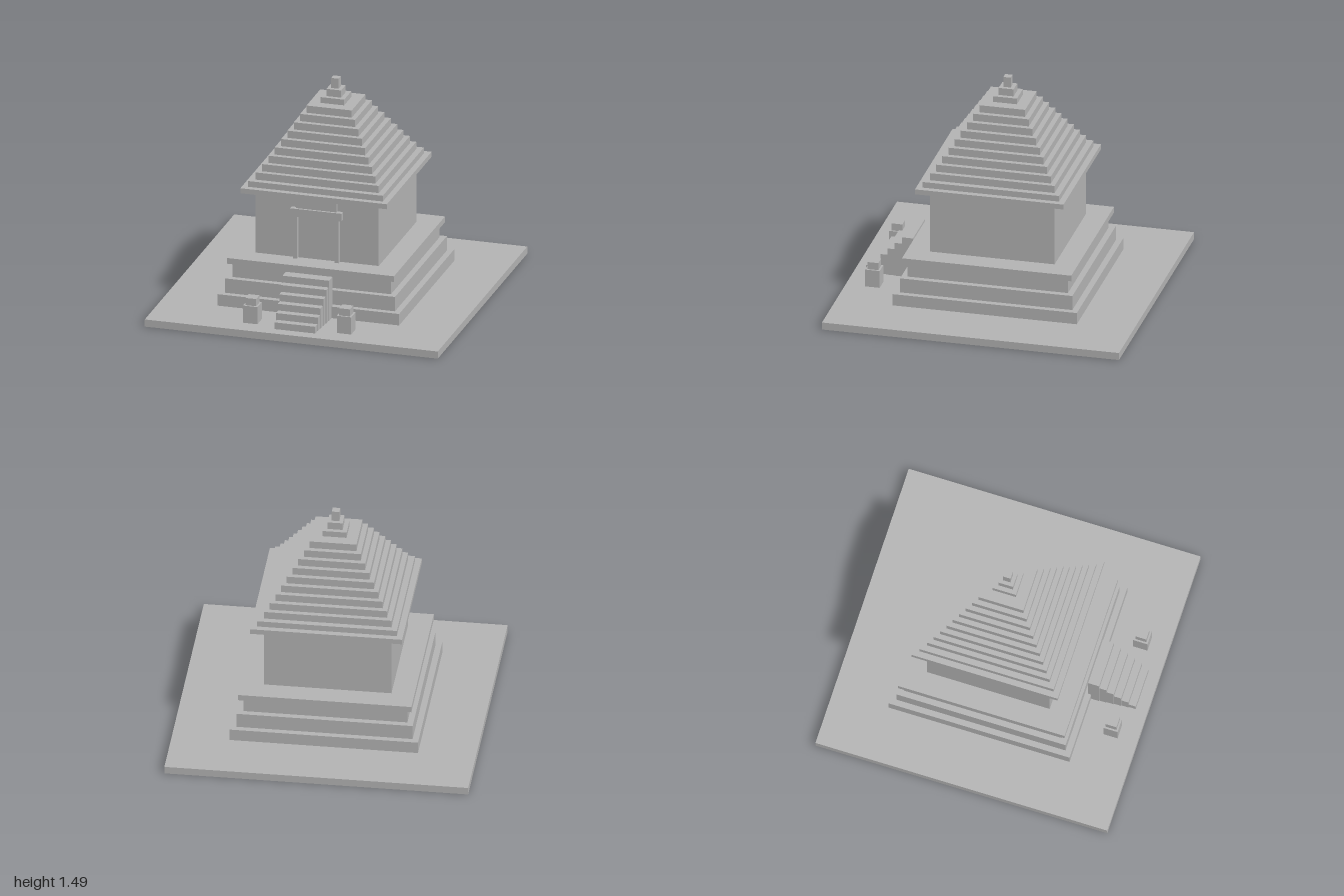
import * as THREE from 'three';

export function createModel() {
  const model = new THREE.Group();
  model.name = 'steppedTemple';
  const stone = new THREE.MeshStandardMaterial({ color: 0xb2b2b2 });
  stone.name = 'grey stone';

  // Box given by half-width, y range and z range
  function block(name, parent, x, half, y0, y1, z0, z1) {
    const mesh = new THREE.Mesh(new THREE.BoxGeometry(half * 2, y1 - y0, z1 - z0), stone);
    mesh.position.set(x, (y0 + y1) / 2, (z0 + z1) / 2);
    mesh.name = name;
    parent.add(mesh);
  }

  // Square tiers stacked upward: [half-width, top height]
  function stack(name, y, tiers) {
    const group = new THREE.Group();
    group.name = name;
    model.add(group);
    tiers.forEach(([half, top], i) => {
      block(`${name}Tier${i + 1}`, group, 0, half, y, top, -half, half);
      y = top;
    });
  }

  // Ground slab, stepped platform and chamber
  block('groundSlab', model, 0, 1, 0, 0.05, -1, 1);
  stack('platform', 0.05, [[0.62, 0.13], [0.58, 0.23], [0.54, 0.33], [0.57, 0.37]]);
  block('chamber', model, 0, 0.42, 0.37, 0.805, -0.42, 0.42);

  // Roof: eaves, evenly shrinking tiers, then the finial
  const roof = [[0.5, 0.84], [0.46, 0.88]];
  for (let i = 0; i < 9; i++) roof.push([0.42 - i * 0.0332, 0.93 + i * 0.05]);
  stack('roof', 0.805, roof);
  stack('finial', 1.33, [[0.08, 1.37], [0.05, 1.42], [0.025, 1.49]]);

  // Doorway: two posts, lintel and the panel above it
  const doorway = new THREE.Group();
  doorway.name = 'doorway';
  model.add(doorway);
  for (const side of [-1, 1]) {
    block(side > 0 ? 'leftPost' : 'rightPost', doorway, side * 0.142, 0.0135, 0.37, 0.665, 0.42, 0.45);
  }
  block('lintel', doorway, 0, 0.175, 0.665, 0.72, 0.42, 0.455);
  block('overdoorPanel', doorway, 0, 0.138, 0.72, 0.805, 0.42, 0.44);

  // Staircase, widening toward the top
  const stairs = new THREE.Group();
  stairs.name = 'stairs';
  model.add(stairs);
  for (let i = 0; i < 6; i++) {
    const front = 0.92 - i * 0.049;
    block(`step${i + 1}`, stairs, 0, 0.139 + i * 0.004, 0.05, 0.05 + (i + 1) * 0.0468, front - 0.075, front);
  }

  // Pair of guardian pedestals beside the stairs
  for (const side of [-1, 1]) {
    const guardian = new THREE.Group();
    guardian.name = side > 0 ? 'leftGuardian' : 'rightGuardian';
    model.add(guardian);
    block('guardianBody', guardian, side * 0.32, 0.049, 0.05, 0.17, 0.771, 0.869);
    block('guardianHead', guardian, side * 0.32, 0.037, 0.17, 0.22, 0.783, 0.857);
  }
  return model;
}
